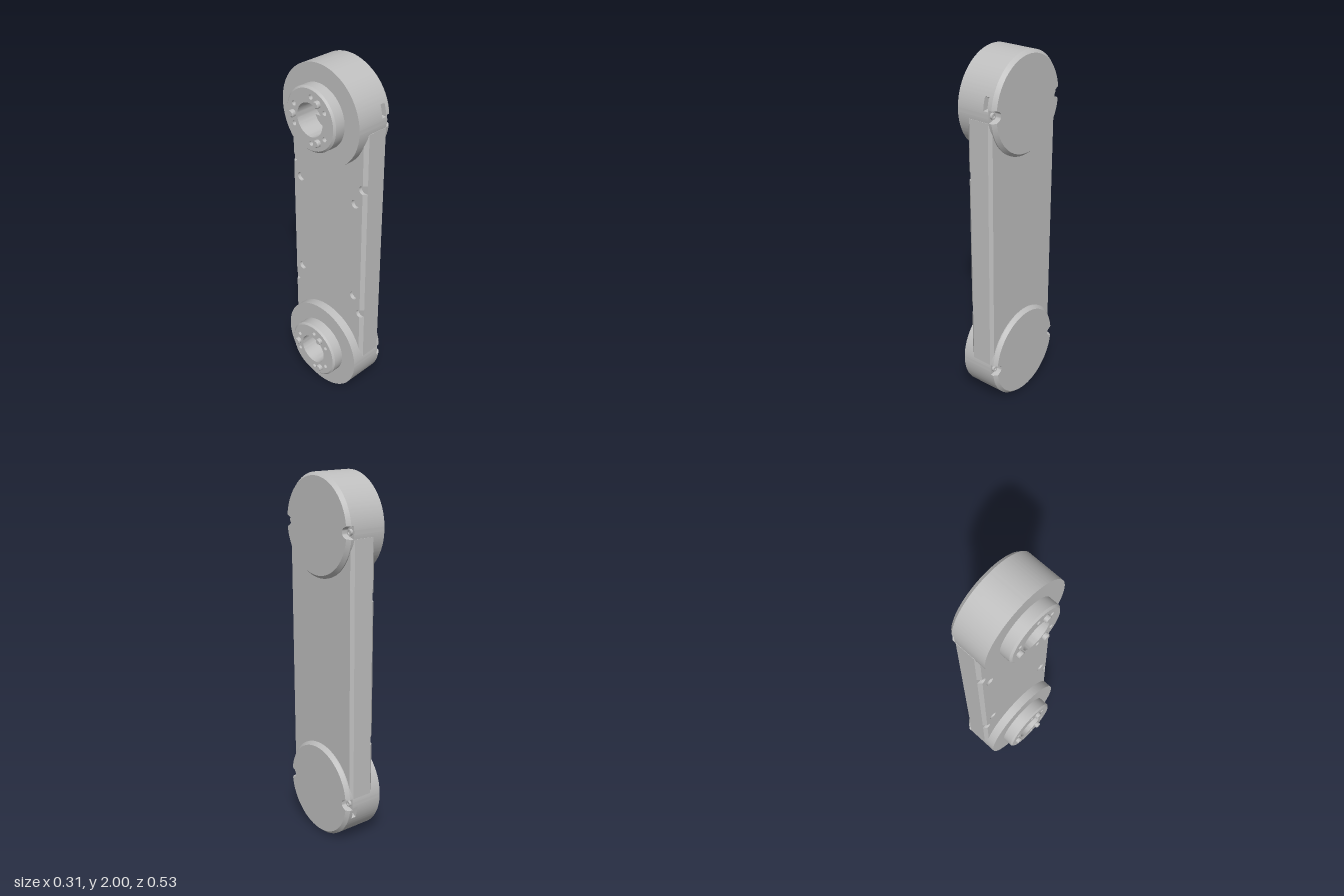
import * as THREE from 'three';
import { toCreasedNormals } from 'three/addons/utils/BufferGeometryUtils.js';

// Built with the joint axes along z, then turned so they lie along x.
const R = 0.267, LOW = 0.267, HIGH = 1.733;
const NOTCH = 0.242, NOTCH_R = 0.026;

export function createModel() {
  const grey = new THREE.MeshStandardMaterial({ color: 0xbfbfbf });
  grey.name = 'machined grey';
  const model = new THREE.Group();
  model.name = 'robotArmLink';
  const body = new THREE.Group();
  body.name = 'link';
  body.rotation.y = Math.PI / 2;
  model.add(body);

  const add = (parent, name, geometry, x = 0, y = 0, z = 0) => {
    const mesh = new THREE.Mesh(geometry, grey);
    mesh.name = name;
    mesh.position.set(x, y, z);
    parent.add(mesh);
    return mesh;
  };
  const extrude = (shape, depth) =>
    new THREE.ExtrudeGeometry(shape, { depth, bevelEnabled: false, curveSegments: 32 });
  const circleHole = (x, y, r) => new THREE.Path().absarc(x, y, r, 0, Math.PI * 2, true);
  const polygon = pts => new THREE.Shape(pts.map(p => new THREE.Vector2(...p)));
  // Turned part about z; points are [radius, z]
  const turned = (pts, sides = 64) => {
    const g = new THREE.LatheGeometry(pts.map(p => new THREE.Vector2(...p)), sides);
    g.rotateX(Math.PI / 2);
    return toCreasedNormals(g, 0.5);
  };

  // Rim radius with the two screw notches, and with the side slot
  const notched = r => a => {
    const s = Math.abs(Math.sin(a));
    if (s >= NOTCH_R / NOTCH) return r;
    return Math.min(r, NOTCH * Math.abs(Math.cos(a)) - Math.sqrt(NOTCH_R ** 2 - (NOTCH * s) ** 2));
  };
  const slotted = a => {
    const y = R * Math.sin(a);
    return Math.cos(a) < 0 && y > 0.027 && y < 0.09 ? 0.235 : R;
  };
  const plain = r => () => r;

  // Loft of rings around z
  const loft = levels => {
    const n = 360, pos = [];
    const at = ([z, fn], i) => {
      const a = (i % n) / n * Math.PI * 2, r = fn(a);
      return new THREE.Vector3(r * Math.cos(a), r * Math.sin(a), z);
    };
    const tri = (a, b, c) => {
      const area = b.clone().sub(a).cross(c.clone().sub(a)).length();
      if (area > 1e-9) for (const p of [a, b, c]) pos.push(p.x, p.y, p.z);
    };
    for (let l = 0; l + 1 < levels.length; l++) {
      for (let i = 0; i < n; i++) {
        const a = at(levels[l], i), b = at(levels[l], i + 1);
        const c = at(levels[l + 1], i + 1), d = at(levels[l + 1], i);
        tri(a, b, c);
        tri(a, c, d);
      }
    }
    const g = new THREE.BufferGeometry();
    g.setAttribute('position', new THREE.Float32BufferAttribute(pos, 3));
    return toCreasedNormals(g, 0.5);
  };

  const drumGeometry = loft([
    [-0.07, plain(0.09)], [-0.07, plain(R)],
    [0.087, plain(R)], [0.087, slotted], [0.115, slotted], [0.115, plain(R)],
    [0.12, plain(R)], [0.12, notched(R)], [0.136, notched(R)],
    [0.155, notched(0.25)], [0.155, plain(0)],
  ]);

  // Hub: turned rim and bore, drilled face ring
  const hubRim = turned([[0.17, -0.07], [0.17, -0.127], [0.16, -0.137]].reverse());
  const hubBore = turned([[0, 0.1], [0.088, 0.1], [0.088, -0.137]]);
  const face = new THREE.Shape().absarc(0, 0, 0.16, 0, Math.PI * 2);
  face.holes.push(circleHole(0, 0, 0.088));
  const pinAngles = [0, 1, 2].map(i => i * Math.PI * 2 / 3);
  for (const a of pinAngles) {
    for (const off of [-0.45, 0.45]) {
      face.holes.push(circleHole(0.122 * Math.cos(a + off), 0.122 * Math.sin(a + off), 0.013));
    }
  }
  const hubFace = extrude(face, 0.04);
  const pin = turned([[0, -0.157], [0.014, -0.157], [0.019, -0.152], [0.019, -0.13]], 24);
  const screw = turned([[0.016, 0.118], [0.016, 0.133], [0.009, 0.133], [0.009, 0.126], [0, 0.126]], 24);

  // Joints at both ends, the lower housing turned half a revolution
  for (const [name, y, turn] of [['upperJoint', HIGH, 0], ['lowerJoint', LOW, Math.PI]]) {
    const joint = new THREE.Group();
    joint.name = name;
    joint.position.y = y;
    body.add(joint);
    add(joint, 'housing', drumGeometry).rotation.z = turn;
    add(joint, 'hubRim', hubRim);
    add(joint, 'hubBore', hubBore);
    add(joint, 'hubFace', hubFace, 0, 0, -0.137);
    for (const a of pinAngles) {
      add(joint, 'dowelPin', pin, 0.117 * Math.cos(a), 0.117 * Math.sin(a));
    }
    for (const s of [-1, 1]) add(joint, 'coverScrew', screw, s * NOTCH);
  }

  // Arm body: chamfered section swept up between the joints
  const bottom = 0.3, top = 1.7, edge = 0.25;
  const sweep = (pts, y0, y1) => {
    const g = extrude(polygon(pts), y1 - y0);
    g.rotateX(-Math.PI / 2); // section (x, y) becomes (x, -z)
    g.translate(0, y0, 0);
    return g;
  };
  add(body, 'armBody', sweep(
    [[-R, 0], [R, 0], [R, -0.115], [edge, -0.13], [-edge, -0.13], [-R, -0.115]], bottom, top));

  // Back plate with screw holes and open edge notches
  const notchYs = [0.61, 1.395], r = 0.024;
  const plate = new THREE.Shape();
  plate.moveTo(-edge, bottom);
  plate.lineTo(edge, bottom);
  for (const y of notchYs) plate.absarc(edge, y, r, -Math.PI / 2, -Math.PI * 1.5, true);
  plate.lineTo(edge, top);
  plate.lineTo(-edge, top);
  for (const y of [...notchYs].reverse()) plate.absarc(-edge, y, r, Math.PI / 2, -Math.PI / 2, true);
  plate.closePath();
  for (const x of [-0.2, 0.2]) {
    for (const y of [0.71, 1.295]) plate.holes.push(circleHole(x, y, r));
  }
  add(body, 'backPlate', extrude(plate, 0.02), 0, 0, -0.02);

  // Chamfer strips along the back plate, broken at the notches
  const spans = [[bottom, 0.61 - r], [0.61 + r, 1.395 - r], [1.395 + r, top]];
  for (const s of [-1, 1]) {
    for (const [y0, y1] of spans) {
      add(body, 'edgeChamfer', sweep([[s * edge, 0], [s * R, 0], [s * edge, 0.02]], y0, y1));
    }
  }
  return model;
}
